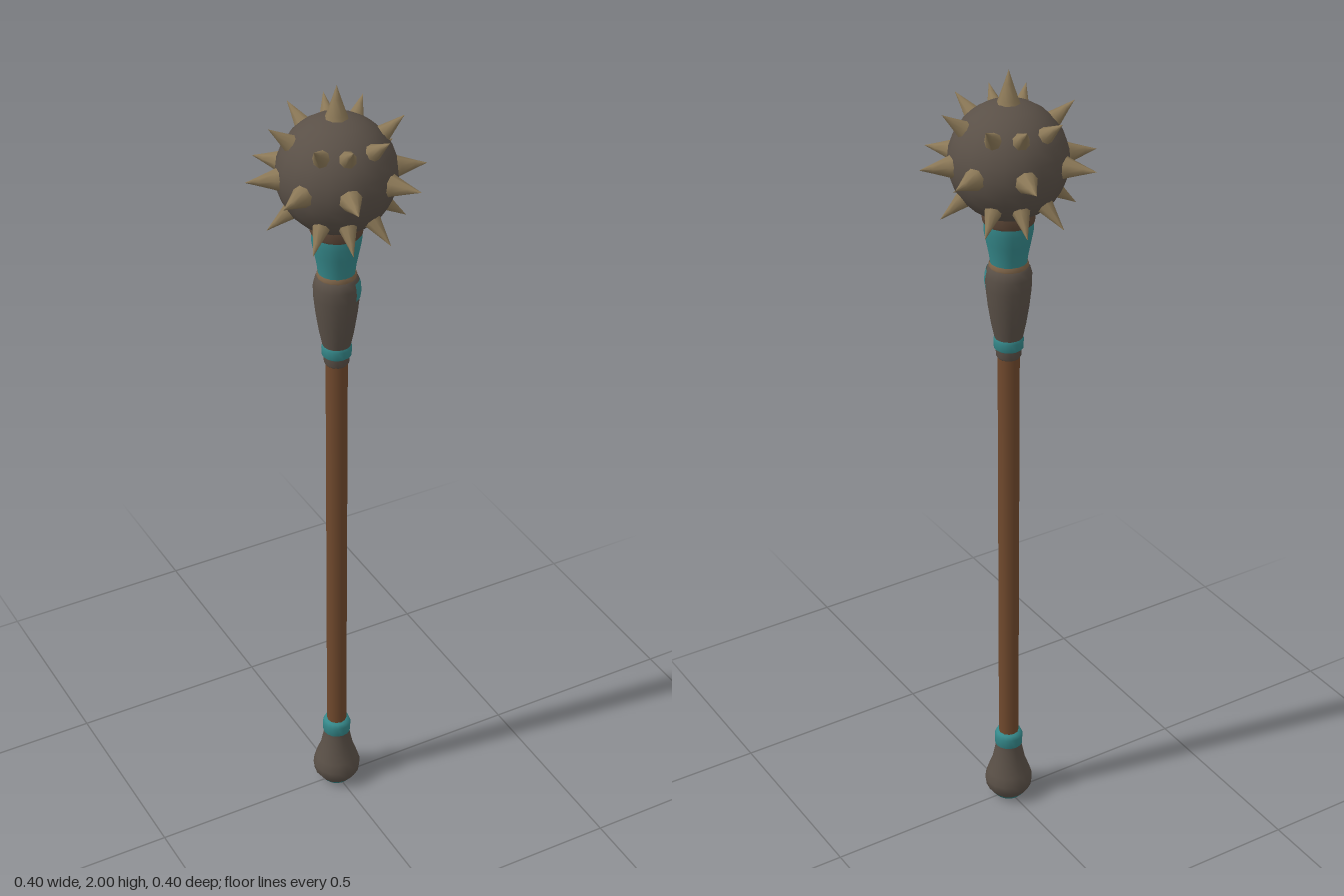
import * as THREE from 'three';

const paint = (name, color) => {
  const m = new THREE.MeshStandardMaterial({ color, side: THREE.DoubleSide });
  m.name = name;
  return m;
};

export function createModel() {
  const iron = paint('dark iron', 0x5a5047);
  const bone = paint('spike horn', 0x8b7857);
  const teal = paint('teal binding', 0x35888a);
  const wood = paint('wood', 0x70492d);
  const leather = paint('brown leather', 0x5e4838);
  const tan = paint('tan cord', 0x80664a);

  const model = new THREE.Group();
  model.name = 'spikedMace';
  const add = (name, geometry, material, parent = model) => {
    const mesh = new THREE.Mesh(geometry, material);
    mesh.name = name;
    parent.add(mesh);
    return mesh;
  };
  // Turned part from [radius, height] pairs, listed bottom to top
  const turned = (name, profile, material, start = 0, sweep = Math.PI * 2) =>
    add(name, new THREE.LatheGeometry(
      profile.map(([r, y]) => new THREE.Vector2(r, y)), sweep < 3 ? 6 : 16, start, sweep), material);

  // Pommel and handle
  turned('pommelBase', [[0, 0.004], [0.036, 0.006], [0.044, 0.016]], teal);
  turned('pommel', [[0.044, 0.016], [0.058, 0.036], [0.061, 0.058], [0.054, 0.082],
    [0.042, 0.115], [0.034, 0.155], [0.033, 0.168]], iron);
  turned('pommelBinding', [[0.028, 0.162], [0.035, 0.167], [0.036, 0.192], [0.032, 0.203], [0.022, 0.206]], teal);
  const handle = add('handle', new THREE.CylinderGeometry(0.026, 0.025, 1.14, 12), wood);
  handle.position.y = 0.755;

  // Socket between the handle and the head
  turned('socketFoot', [[0.025, 1.29], [0.030, 1.297], [0.031, 1.318]], iron);
  turned('socketLowerBinding', [[0.029, 1.313], [0.035, 1.318], [0.036, 1.338], [0.033, 1.345]], teal);
  turned('socket', [[0.033, 1.343], [0.041, 1.38], [0.049, 1.43], [0.054, 1.475],
    [0.055, 1.505], [0.050, 1.523], [0.043, 1.53]], iron);
  turned('socketPatch', [[0.0545, 1.475], [0.0565, 1.49], [0.0555, 1.506], [0.052, 1.52]], teal, 0.45, 0.85);
  turned('socketCord', [[0.045, 1.524], [0.047, 1.531], [0.044, 1.539]], tan);
  turned('neckBinding', [[0.043, 1.537], [0.046, 1.56], [0.052, 1.59], [0.058, 1.62], [0.058, 1.638]], teal);
  turned('neckCollar', [[0.057, 1.636], [0.061, 1.645], [0.063, 1.67], [0.058, 1.68]], leather);

  // Spiked head
  const head = new THREE.Group();
  head.name = 'head';
  head.position.y = 1.788;
  model.add(head);
  add('ball', new THREE.SphereGeometry(0.138, 20, 14), iron, head);

  const up = new THREE.Vector3(0, 1, 0);
  const spike = (name, azimuth, elevation, tip, radius) => {
    const a = THREE.MathUtils.degToRad(azimuth);
    const e = THREE.MathUtils.degToRad(elevation);
    const dir = new THREE.Vector3(Math.cos(e) * Math.cos(a), Math.sin(e), Math.cos(e) * Math.sin(a));
    const base = 0.122;
    const length = tip - base;
    // Slightly flared foot, running to a point
    const profile = [[radius, 0], [radius * 0.72, length * 0.25], [radius * 0.33, length * 0.65], [0, length]];
    const mesh = add(name, new THREE.LatheGeometry(
      profile.map(([r, y]) => new THREE.Vector2(r, y)), 8), bone, head);
    mesh.quaternion.setFromUnitVectors(up, dir);
    mesh.position.copy(dir).multiplyScalar(base);
  };

  spike('topSpike', 0, 90, 0.212, 0.032);
  [15, 55, 105, 152, 195, 232, 285, 336].forEach(a => spike('middleSpike', a, 0, 0.207, 0.031));
  const ring = [15, 70, 105, 137, 195, 252, 287, 321];
  ring.forEach(a => spike('upperSpike', a, 39, 0.197, 0.025));
  ring.forEach(a => spike('lowerSpike', a, -38, 0.204, 0.025));

  return model;
}
